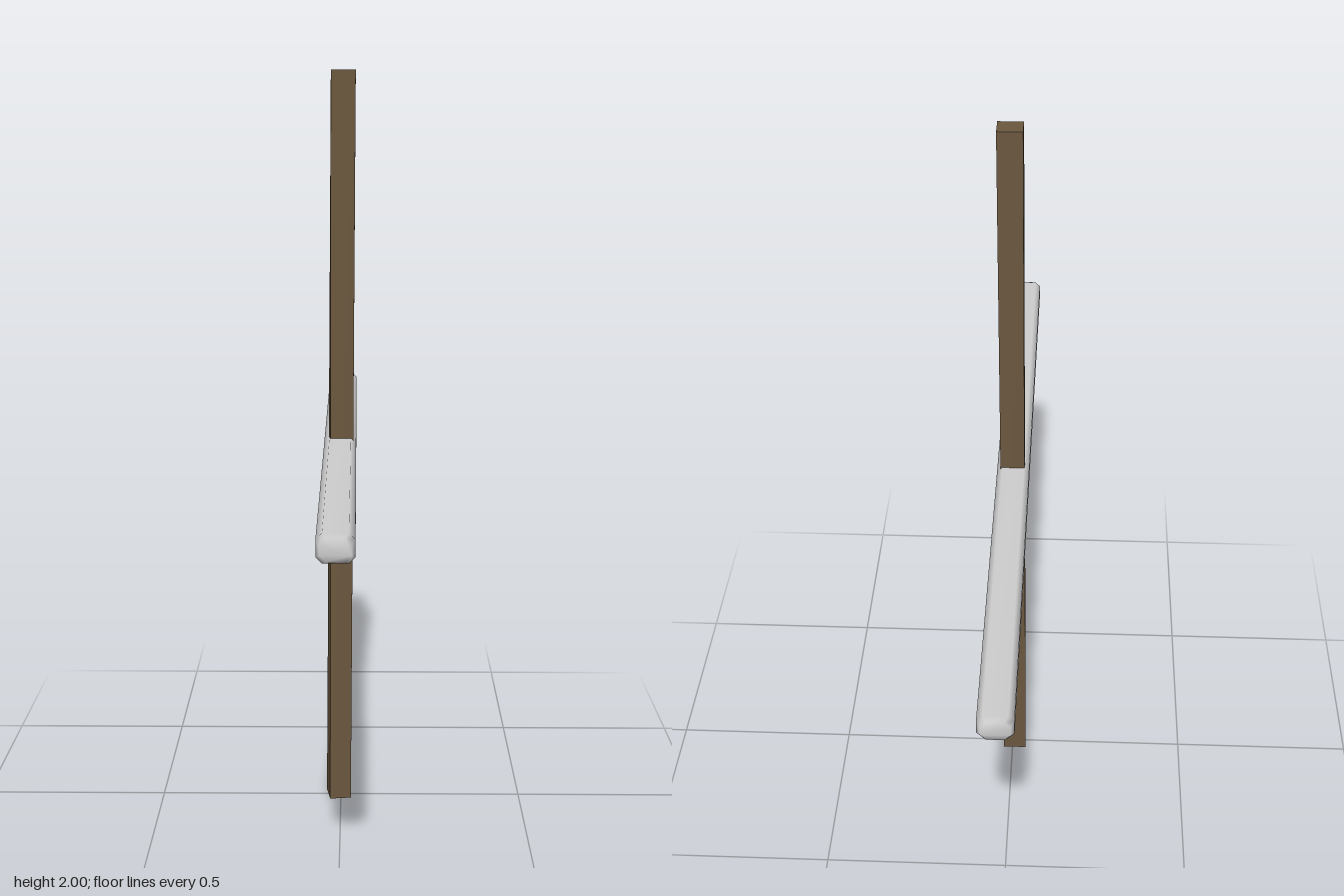
import * as THREE from 'three';

// Joins rings of equal length, counterclockwise about the axis of travel, and caps both ends
function loft(rings) {
  const n = rings[0].length, last = (rings.length - 1) * n, index = [];
  for (let r = 0; r < rings.length - 1; r++) {
    for (let i = 0; i < n; i++) {
      const a = r * n + i, b = r * n + (i + 1) % n;
      index.push(a, b, b + n, a, b + n, a + n);
    }
  }
  for (let i = 1; i < n - 1; i++) {
    index.push(0, i + 1, i, last, last + i, last + i + 1);
  }
  const geometry = new THREE.BufferGeometry();
  geometry.setAttribute('position', new THREE.Float32BufferAttribute(rings.flat(2), 3));
  geometry.setIndex(index);
  return geometry;
}

// Chamfered section of the bar at depth z, drawn in by inset
function barRing(z, inset) {
  const w = 0.043 - inset, h = 0.034 - inset, c = 0.014;
  return [
    [w, -h + c], [w, h - c], [w - c, h], [-w + c, h],
    [-w, h - c], [-w, -h + c], [-w + c, -h], [w - c, -h],
  ].map(([x, y]) => [x - 0.002, y + 1, z]);
}

export function createModel() {
  const group = new THREE.Group();
  const wood = new THREE.MeshStandardMaterial({ color: 0x6b583f });
  wood.name = 'brown wood';
  const metal = new THREE.MeshStandardMaterial({ color: 0xcfcfcf });
  metal.name = 'pale grey metal';

  // Upright post, slightly leaning and twisted toward its foot
  const foot = [[-0.03, 0.035], [0.028, 0.027], [0.025, -0.032], [-0.04, -0.03]];
  const head = [[-0.026, 0.029], [0.038, 0.029], [0.038, -0.031], [-0.026, -0.031]];
  const postRings = [[foot, 0], [head, 2]].map(([ring, y]) => ring.map(([x, z]) => [x, y, z]));
  const postGeometry = loft(postRings).toNonIndexed();
  postGeometry.computeVertexNormals();
  const post = new THREE.Mesh(postGeometry, wood);
  post.name = 'uprightPost';

  // Horizontal bar with softened edges and ends
  const barGeometry = loft([barRing(-1, 0.008), barRing(-0.985, 0), barRing(0.985, 0), barRing(1, 0.008)]);
  barGeometry.computeVertexNormals();
  const bar = new THREE.Mesh(barGeometry, metal);
  bar.name = 'crossBar';

  group.add(post, bar);
  return group;
}
